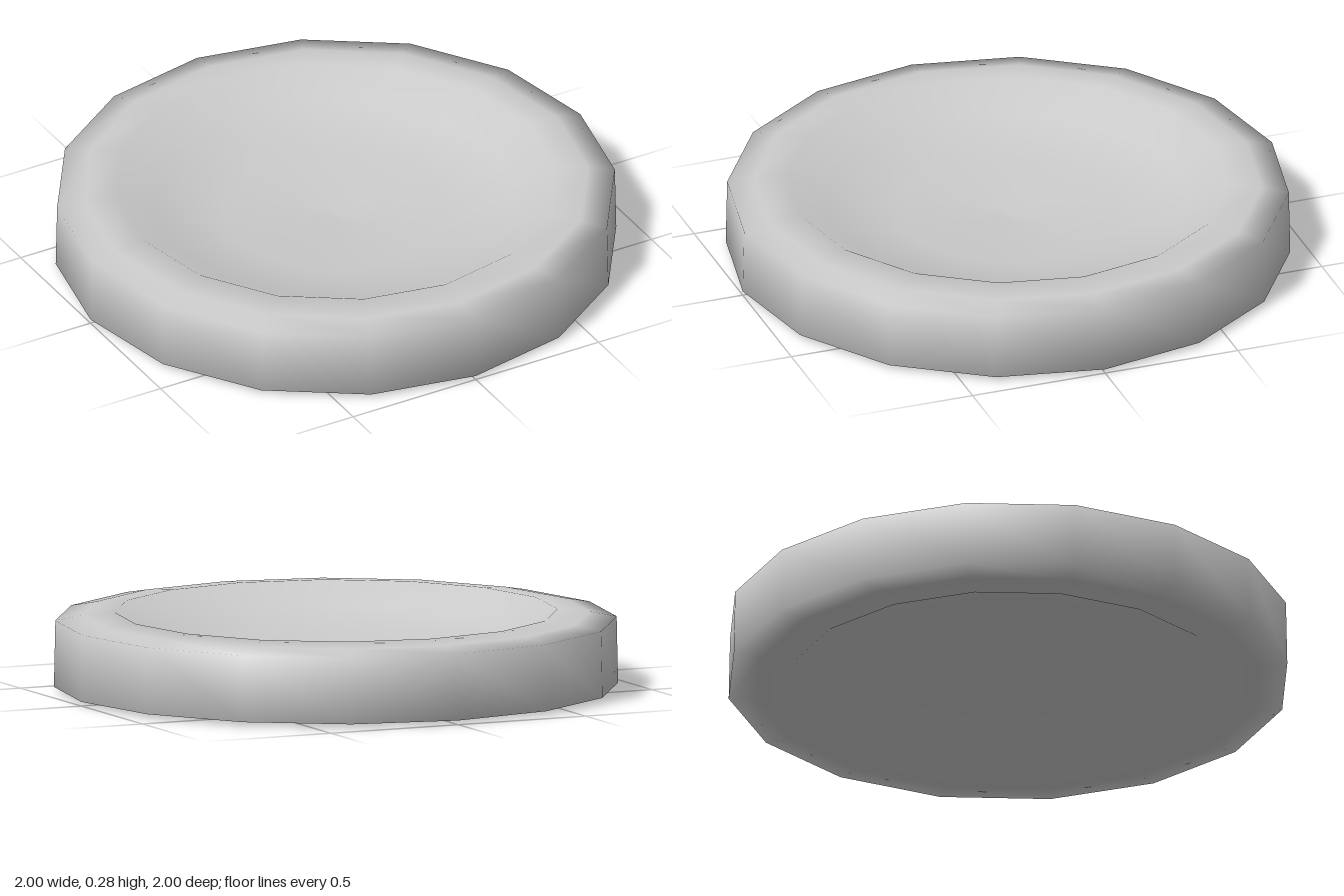
import * as THREE from 'three';

export function createModel() {
  const group = new THREE.Group();
  group.name = 'dish';

  // Closed cross-section from the underside centre, round the rim, to the top centre
  const profile = [
    [0, 0.135], [0.4, 0.125], [0.63, 0.1],  // recessed underside
    [0.785, 0.003], [0.9, 0.008],           // foot
    [1, 0.018], [0.995, 0.255],             // outer wall
    [0.9, 0.273], [0.785, 0.283],           // lip
    [0.65, 0.205], [0.4, 0.16], [0, 0.14],  // recessed bowl
  ].map(([r, y]) => new THREE.Vector2(r, y));

  const dish = new THREE.Mesh(
    new THREE.LatheGeometry(profile, 16),
    new THREE.MeshStandardMaterial({ color: 0xcccccc })
  );
  dish.name = 'dishBody';
  group.add(dish);
  return group;
}
